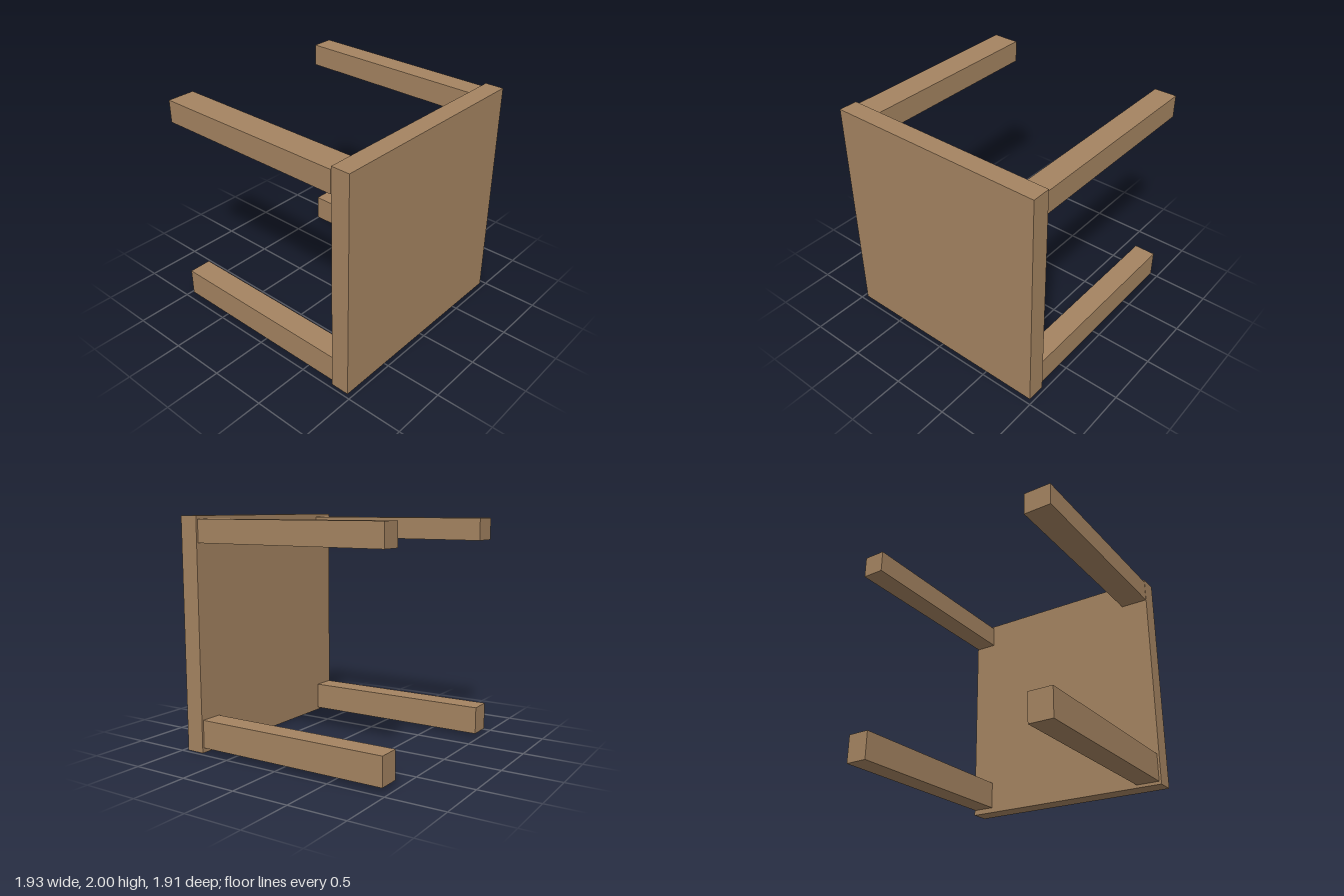
import * as THREE from 'three';

// Small table lying on its side: the top faces forward, the legs point back.
export function createModel() {
  const model = new THREE.Group();
  model.name = 'table';
  const wood = new THREE.MeshStandardMaterial({ color: 0xa58461 });

  // Box given by its extents along each axis
  function addBox(name, [x0, x1], [y0, y1], [z0, z1]) {
    const mesh = new THREE.Mesh(new THREE.BoxGeometry(x1 - x0, y1 - y0, z1 - z0), wood);
    mesh.position.set((x0 + x1) / 2, (y0 + y1) / 2, (z0 + z1) / 2);
    mesh.name = name;
    model.add(mesh);
  }

  addBox('tableTop', [-0.967, 0.967], [0, 2], [0.793, 0.957]);

  // Four legs of slightly different section, with a hairline gap to the top
  const legs = [
    ['upperLeftLeg', [0.76, 0.955], [1.778, 1.973]],
    ['upperRightLeg', [-0.967, -0.724], [1.778, 1.973]],
    ['lowerLeftLeg', [0.76, 0.955], [0.045, 0.288]],
    ['lowerRightLeg', [-0.95, -0.743], [0.025, 0.268]],
  ];
  for (const [name, x, y] of legs) addBox(name, x, y, [-0.957, 0.787]);

  return model;
}
